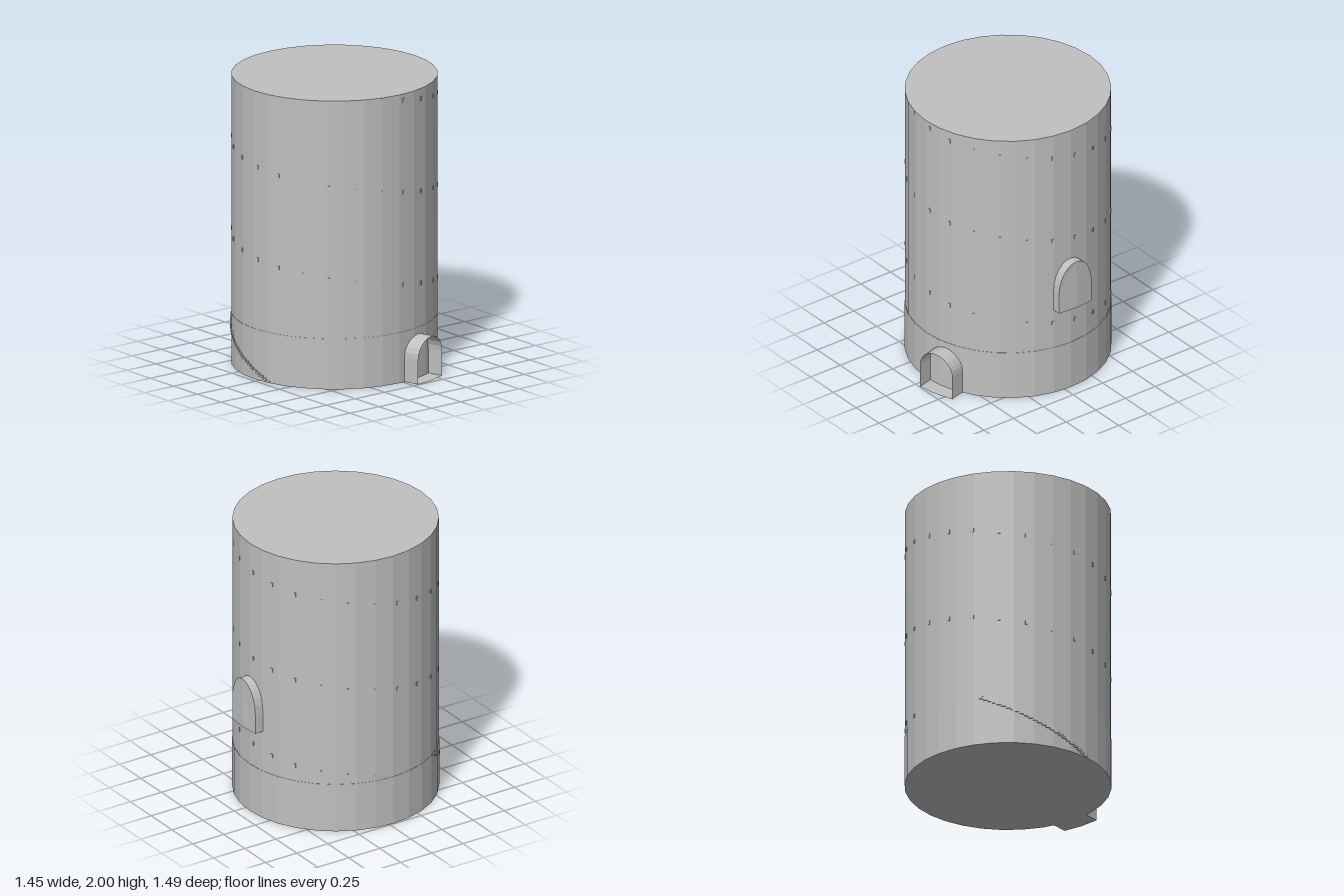
import * as THREE from 'three';
import { ParametricGeometry } from 'three/addons/geometries/ParametricGeometry.js';

const RADIUS = 0.69;
const rad = THREE.MathUtils.degToRad;

// faceted normals
function faceted(geometry) {
  const flat = geometry.index ? geometry.toNonIndexed() : geometry;
  flat.computeVertexNormals();
  return flat;
}

// arch outline: up the right side, over the top, down the left
function archPoints(halfWidth, base, spring, top) {
  const points = [new THREE.Vector2(halfWidth, base)];
  for (let i = 0; i <= 12; i++) {
    const a = (i / 12) * Math.PI;
    points.push(new THREE.Vector2(halfWidth * Math.cos(a), spring + (top - spring) * Math.sin(a)));
  }
  points.push(new THREE.Vector2(-halfWidth, base));
  return points;
}

// depth of a curved front that follows a cylinder of radius r
const frontDepth = (x, r) => Math.sqrt(r * r - x * x);

// walls and sill of an arched projection
function archShell(points, r) {
  const base = points[0].y;
  const loop = [...points, new THREE.Vector2(0, base), points[0]];
  const n = loop.length - 1;
  return faceted(new ParametricGeometry((u, v, target) => {
    const p = loop[Math.round(u * n)];
    target.set(p.x, p.y, THREE.MathUtils.lerp(0.665, frontDepth(p.x, r), v));
  }, n, 1));
}

// half of the front panel, folded along the middle
function archPanel(points, r, side) {
  const half = points.filter((p) => p.x * side > -1e-6);
  const shape = new THREE.Shape([...half, new THREE.Vector2(0, points[0].y)]);
  const geometry = new THREE.ShapeGeometry(shape);
  const pos = geometry.attributes.position;
  for (let i = 0; i < pos.count; i++) pos.setZ(i, frontDepth(pos.getX(i), r));
  return faceted(geometry);
}

export function createModel() {
  const model = new THREE.Group();
  const stone = new THREE.MeshStandardMaterial({ color: 0xc0c0c0, side: THREE.DoubleSide });
  stone.name = 'grey stone';

  const tower = new THREE.Group();
  tower.name = 'tower';
  tower.position.set(-0.03, 0, -0.052);
  model.add(tower);

  function add(name, geometry, parent = tower) {
    const mesh = new THREE.Mesh(geometry, stone);
    mesh.name = name;
    parent.add(mesh);
    return mesh;
  }
  function addGroup(name, angle = 0) {
    const group = new THREE.Group();
    group.name = name;
    group.rotation.y = rad(angle);
    tower.add(group);
    return group;
  }

  // main drum and slightly wider base ring
  add('drum', faceted(new THREE.CylinderGeometry(RADIUS, RADIUS, 1.65, 32))).position.y = 1.175;
  add('baseRing', faceted(new THREE.CylinderGeometry(RADIUS + 0.002, RADIUS + 0.002, 0.35, 32))).position.y = 0.175;

  // open arched porch at the foot
  const porch = addGroup('porch', 15);
  add('porchWalls', archShell(archPoints(0.135, 0, 0.17, 0.305), 0.8), porch);

  // closed arched window on the side
  const window = addGroup('window', 90);
  const windowOutline = archPoints(0.137, 0.645, 0.79, 1.005);
  add('windowFrame', archShell(windowOutline, 0.75), window);
  for (const side of [-1, 1]) add('windowPanel', archPanel(windowOutline, 0.75, side), window);

  // small block placed on the wall, its outer face at radius r
  function wallBlock(name, parent, geometry, angle, y, r) {
    const block = add(name, geometry, parent);
    const a = rad(angle);
    block.position.set(Math.sin(a) * (r - 0.01), y, Math.cos(a) * (r - 0.01));
    block.rotation.y = a;
  }

  // pegs rising in a helix, 24 to a turn
  const pegs = addGroup('pegs');
  const pegGeometry = new THREE.BoxGeometry(0.014, 0.028, 0.02);
  for (let i = 0; i < 61; i++) {
    wallBlock('peg', pegs, pegGeometry, 168 - i * 15, 0.383 + i * 0.64 / 24, 0.693);
  }

  // fine stair climbing the base ring
  const stair = addGroup('stair');
  const stepGeometry = new THREE.BoxGeometry(0.036, 0.014, 0.02);
  for (let i = 0; i < 26; i++) {
    wallBlock('step', stair, stepGeometry, -79 - i * 2.52, 0.008 + i * 0.0132, 0.697);
  }

  return model;
}
